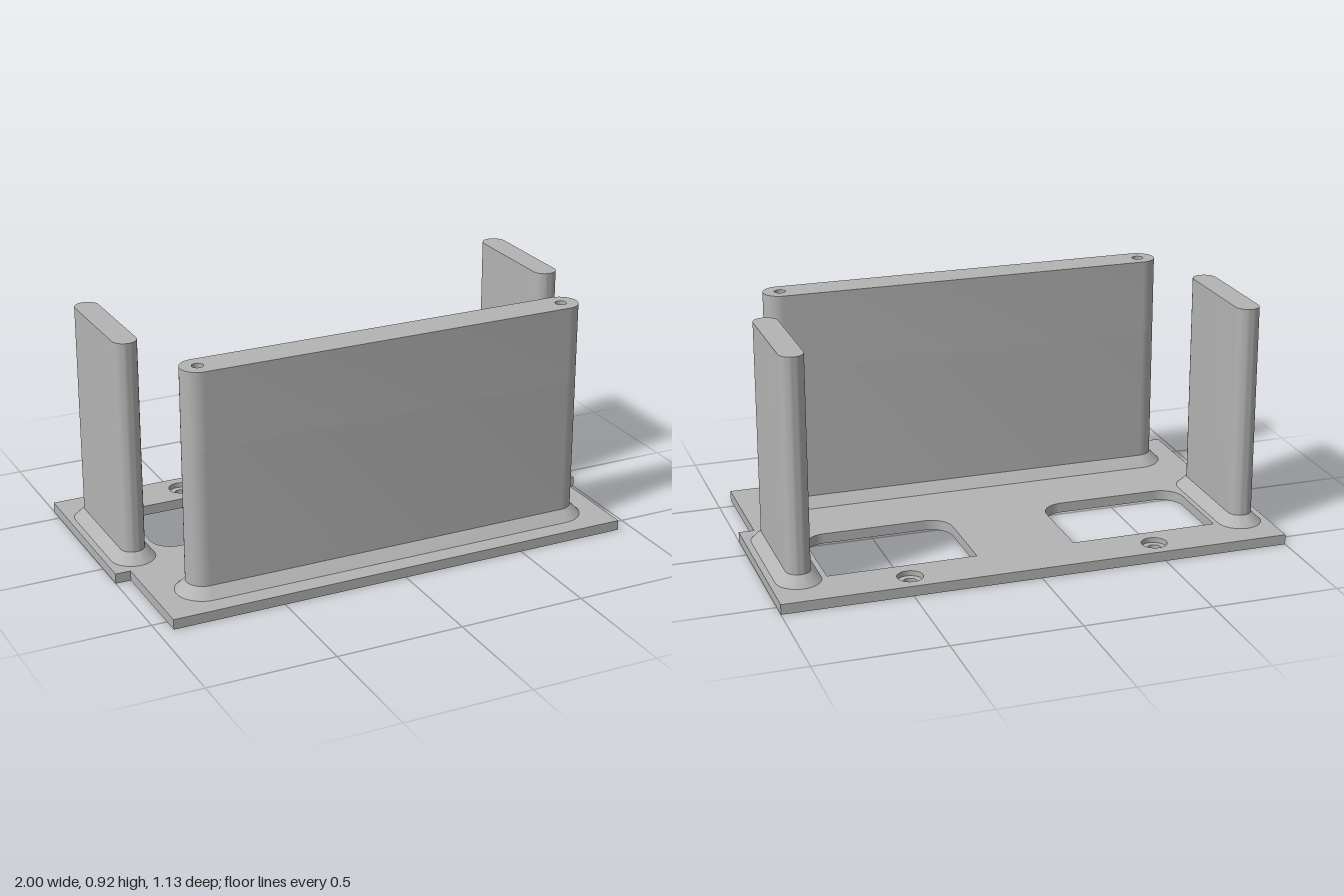
import * as THREE from 'three';
import { toCreasedNormals } from 'three/addons/utils/BufferGeometryUtils.js';

const PLATE = 0.04, SKIRT = 0.04, TOP = 0.92;

// Outline points of a slot: straight run of half length a, round ends of radius r
function slotPoints(a, r, n = 20) {
  const pts = [];
  for (const end of [1, -1]) {
    for (let i = 0; i <= n; i++) {
      const t = -Math.PI / 2 + Math.PI * i / n + (end < 0 ? Math.PI : 0);
      pts.push(new THREE.Vector2(end * a + r * Math.cos(t), r * Math.sin(t)));
    }
  }
  return pts;
}

function circlePath(x, z, r) {
  return new THREE.Path().absarc(x, z, r, 0, Math.PI * 2, true);
}

// Extrude a shape drawn in (x, z) between two heights
function slab(shape, y0, y1) {
  const g = new THREE.ExtrudeGeometry(shape, { depth: y1 - y0, bevelEnabled: false, curveSegments: 16 });
  g.rotateX(Math.PI / 2).translate(0, y1, 0);
  return toCreasedNormals(g, 0.6);
}

// Sloped band between two slot outlines
function skirtGeometry(a, r) {
  const low = slotPoints(a, r + SKIRT), high = slotPoints(a, r), pos = [];
  const y0 = PLATE, y1 = PLATE + SKIRT;
  for (let i = 0; i < low.length; i++) {
    const j = (i + 1) % low.length;
    const b0 = [low[i].x, y0, low[i].y], b1 = [low[j].x, y0, low[j].y];
    const t0 = [high[i].x, y1, high[i].y], t1 = [high[j].x, y1, high[j].y];
    pos.push(...b0, ...t0, ...b1, ...b1, ...t0, ...t1);
  }
  const g = new THREE.BufferGeometry();
  g.setAttribute('position', new THREE.Float32BufferAttribute(pos, 3));
  g.computeVertexNormals();
  return toCreasedNormals(g, 0.6);
}

export function createModel() {
  const model = new THREE.Group();
  model.name = 'bracket';
  const grey = new THREE.MeshStandardMaterial({ color: 0xb4b4b4 });
  grey.name = 'grey';

  function add(parent, name, geometry) {
    const mesh = new THREE.Mesh(geometry, grey);
    mesh.name = name;
    parent.add(mesh);
  }

  // Stepped plate with two windows and two screw holes
  function plateShape(holeRadius) {
    const s = new THREE.Shape([
      [-1, -0.565], [1, -0.565], [1, 0.135], [0.94, 0.135],
      [0.94, 0.565], [-0.94, 0.565], [-0.94, 0.135], [-1, 0.135],
    ].map(([x, z]) => new THREE.Vector2(x, z)));
    const x0 = 0.195, x1 = 0.78, z0 = -0.375, z1 = 0.015, r = 0.09;
    for (const m of [1, -1]) {
      const w = new THREE.Path();
      w.moveTo(m * x0, z0);
      w.lineTo(m * x1, z0);
      w.lineTo(m * x1, z1 - r);
      w.absarc(m * (x1 - r), z1 - r, r, m > 0 ? 0 : Math.PI, Math.PI / 2, m < 0);
      w.lineTo(m * (x0 + r), z1);
      w.absarc(m * (x0 + r), z1 - r, r, Math.PI / 2, m > 0 ? Math.PI : 0, m < 0);
      w.closePath();
      s.holes.push(w, circlePath(m * 0.488, -0.475, holeRadius));
    }
    return s;
  }
  add(model, 'plateLower', slab(plateShape(0.026), 0, 0.02));
  add(model, 'plateUpper', slab(plateShape(0.05), 0.02, PLATE)); // wider counterbore

  // Front wall with blind screw holes in its top
  const frontWall = new THREE.Group();
  frontWall.name = 'frontWall';
  frontWall.position.z = 0.3825;
  const a = 0.7475, r = 0.0675, holeFloor = 0.62;
  const topShape = new THREE.Shape(slotPoints(a, r));
  for (const m of [1, -1]) topShape.holes.push(circlePath(m * a, 0, 0.022));
  add(frontWall, 'frontWallBody', slab(new THREE.Shape(slotPoints(a, r)), PLATE, holeFloor));
  add(frontWall, 'frontWallTop', slab(topShape, holeFloor, TOP));
  add(frontWall, 'frontWallSkirt', skirtGeometry(a, r));
  model.add(frontWall);

  // Side walls
  for (const m of [1, -1]) {
    const side = new THREE.Group();
    side.name = m > 0 ? 'leftWall' : 'rightWall';
    side.position.set(m * 0.888, 0, -0.175);
    side.rotation.y = Math.PI / 2;
    add(side, 'sideWallBody', slab(new THREE.Shape(slotPoints(0.1975, 0.0475)), PLATE, TOP));
    add(side, 'sideWallSkirt', skirtGeometry(0.1975, 0.0475));
    model.add(side);
  }
  return model;
}
